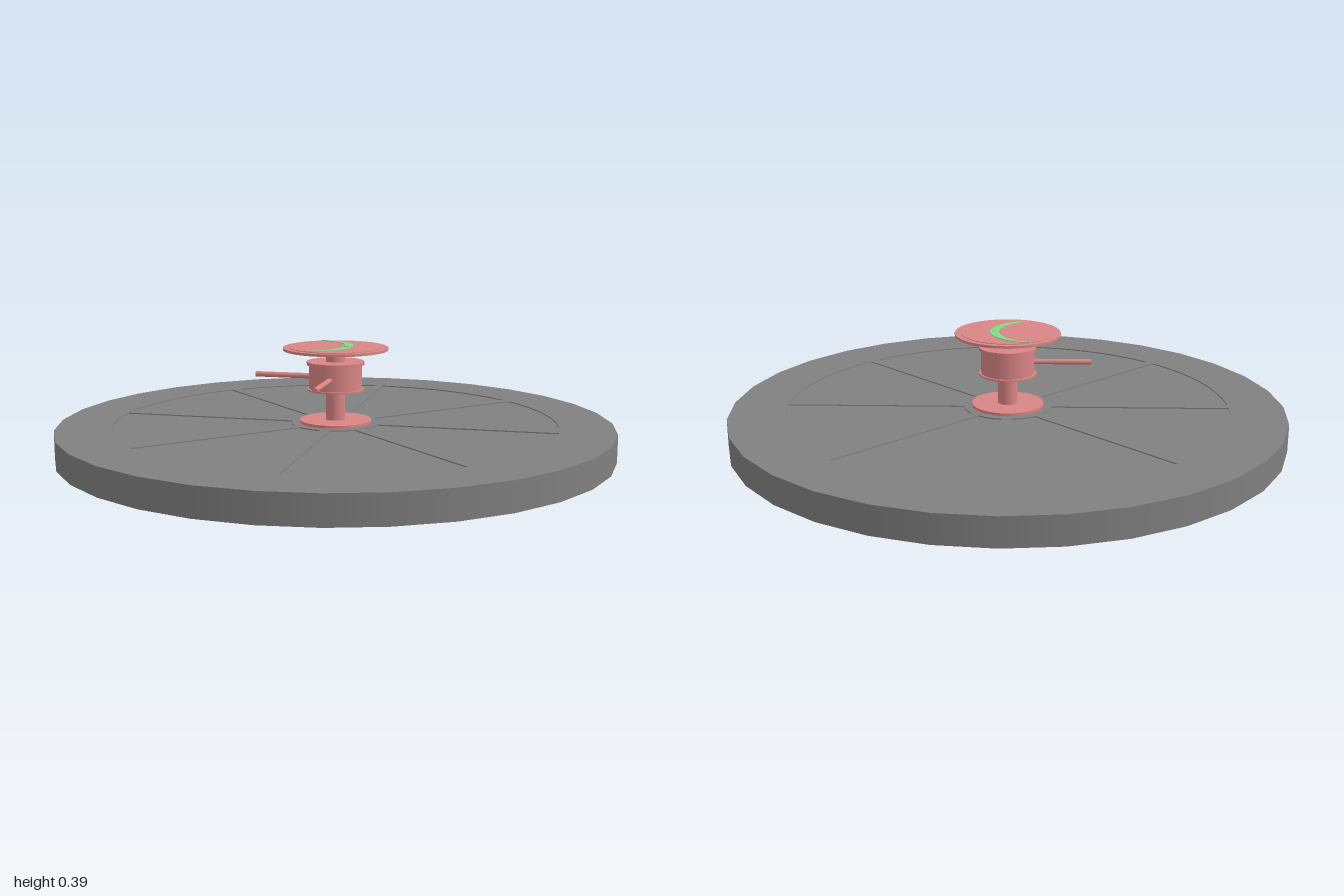
import * as THREE from 'three';

const mat = (color) => new THREE.MeshStandardMaterial({ color });

export function createModel() {
  const model = new THREE.Group();
  const grey = mat(0x808080), red = mat(0xd98484), green = mat(0x7fdc84);

  const add = (name, geometry, material, x = 0, y = 0, z = 0) => {
    const mesh = new THREE.Mesh(geometry, material);
    mesh.name = name;
    mesh.position.set(x, y, z);
    model.add(mesh);
    return mesh;
  };
  // Upright cylinder given by its bottom and top heights
  const disc = (name, radius, y0, y1, material, sides = 32) =>
    add(name, new THREE.CylinderGeometry(radius, radius, y1 - y0, sides), material, 0, (y0 + y1) / 2, 0);
  // Flat shape extruded upwards from height y
  const plate = (name, shape, y, height, material) => {
    const g = new THREE.ExtrudeGeometry(shape, { depth: height, bevelEnabled: false, curveSegments: 32 });
    return add(name, g.rotateX(-Math.PI / 2), material, 0, y, 0);
  };

  // Round platform body
  disc('platform', 1, 0.012, 0.108, grey);

  // Top layer: rim and spokes left standing around eight shallow panels
  const deck = new THREE.Shape();
  for (let i = 0; i < 32; i++) {
    const a = (i / 32) * Math.PI * 2;
    deck[i ? 'lineTo' : 'moveTo'](Math.cos(a), Math.sin(a));
  }
  deck.closePath();
  const arcPoints = (r, a0, a1, gap, n) => Array.from({ length: n + 1 }, (_, i) => {
    const inset = Math.asin(gap / r);
    const a = a0 + inset + (a1 - a0 - 2 * inset) * (i / n);
    return new THREE.Vector2(r * Math.cos(a), r * Math.sin(a));
  });
  for (let i = 0; i < 8; i++) {
    const a0 = (i * Math.PI) / 4, a1 = a0 + Math.PI / 4;
    const outer = arcPoints(0.8, a0, a1, 0.018, 8);
    const inner = arcPoints(0.16, a0, a1, 0.018, 3).reverse();
    deck.holes.push(new THREE.Path([...outer, ...inner]));
  }
  plate('spokedDeck', deck, 0.108, 0.004, grey);

  // Four low feet, one per quarter turn
  for (let i = 0; i < 4; i++) {
    const foot = add(`foot${i + 1}`, new THREE.BoxGeometry(0.12, 0.014, 0.13), grey);
    foot.position.set(0.86, 0.007, 0.1).applyAxisAngle(new THREE.Vector3(0, 1, 0), (i * Math.PI) / 2);
    foot.rotation.y = (i * Math.PI) / 2;
  }

  // Central post, flange and spool
  disc('baseFlange', 0.13, 0.11, 0.122, red);
  disc('post', 0.035, 0.12, 0.38, red);
  disc('spoolBody', 0.096, 0.235, 0.325, red);
  disc('spoolTopRim', 0.104, 0.322, 0.334, red);
  disc('spoolBottomRim', 0.104, 0.23, 0.236, red);

  // Two rods leaving the spool, to the right and to the front
  const rod = () => new THREE.CylinderGeometry(0.01, 0.01, 0.22, 12);
  add('rightRod', rod().rotateZ(Math.PI / 2), red, -0.19, 0.277, 0);
  add('frontRod', rod().rotateX(Math.PI / 2), red, 0, 0.277, 0.19);

  // Top dial with a slightly raised face
  disc('dial', 0.19, 0.376, 0.385, red);
  disc('dialFace', 0.168, 0.384, 0.387, red);

  // Crescent mark on the dial
  const crescent = new THREE.Shape();
  const tip = Math.asin(1);
  crescent.absarc(-0.087, 0, 0.15, -tip, tip, false);
  const innerTip = Math.atan2(0.15, 0.037);
  crescent.absarc(-0.124, 0, 0.1545, innerTip, -innerTip, true);
  plate('crescent', crescent, 0.386, 0.003, green);
  const boss = disc('crescentBoss', 0.016, 0.386, 0.39, green, 12);
  boss.position.x = 0.045;

  return model;
}
